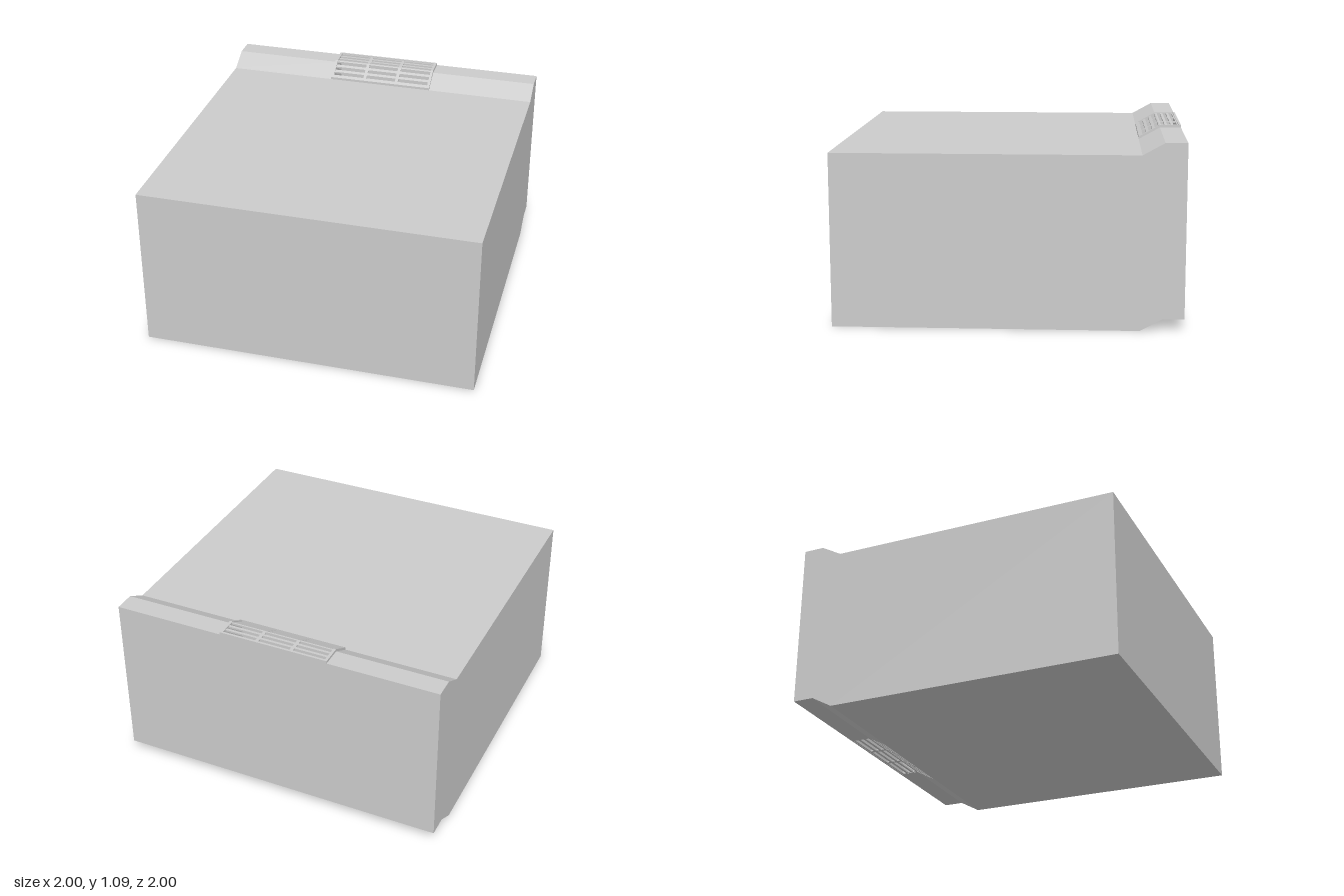
import * as THREE from 'three';

const material = new THREE.MeshStandardMaterial({ color: 0xcccccc, flatShading: true });

// Height of the stepped profile above the flat face at depth z
const STEP = 0.07, RAMP_FRONT = -0.75, RAMP_BACK = -0.875;
const rise = z => STEP * THREE.MathUtils.clamp((RAMP_FRONT - z) / (RAMP_FRONT - RAMP_BACK), 0, 1);

// Vent shaft through the body, from top to bottom
const SHAFT_X = 0.325, SHAFT_BACK = -0.99, SHAFT_FRONT = -0.757;

// Body shell: stepped top and bottom skins, outer walls and shaft walls
function createBody() {
  const xs = [-1, -SHAFT_X, SHAFT_X, 1];
  const zs = [-1, SHAFT_BACK, RAMP_BACK, SHAFT_FRONT, RAMP_FRONT, 1];
  const pos = [];
  const quad = (a, b, c, d) => pos.push(...a, ...b, ...c, ...a, ...c, ...d);
  const top = (x, z) => [x, 1 + rise(z), z];
  const low = (x, z) => [x, rise(z), z];
  // Wall facing right of the direction of travel from (xa, za) to (xb, zb)
  const wall = (xa, za, xb, zb) => quad(low(xa, za), low(xb, zb), top(xb, zb), top(xa, za));

  for (let j = 0; j < zs.length - 1; j++) {
    const z0 = zs[j], z1 = zs[j + 1];
    const open = j === 1 || j === 2;
    for (let i = 0; i < 3; i++) {
      if (open && i === 1) continue;
      const x0 = xs[i], x1 = xs[i + 1];
      quad(top(x0, z1), top(x1, z1), top(x1, z0), top(x0, z0));
      quad(low(x0, z0), low(x1, z0), low(x1, z1), low(x0, z1));
    }
    wall(1, z1, 1, z0);
    wall(-1, z0, -1, z1);
    if (open) {
      wall(-SHAFT_X, z1, -SHAFT_X, z0);
      wall(SHAFT_X, z0, SHAFT_X, z1);
    }
  }
  wall(-1, 1, 1, 1);
  wall(1, -1, -1, -1);
  wall(-SHAFT_X, SHAFT_BACK, SHAFT_X, SHAFT_BACK);
  wall(SHAFT_X, SHAFT_FRONT, -SHAFT_X, SHAFT_FRONT);

  const geometry = new THREE.BufferGeometry();
  geometry.setAttribute('position', new THREE.Float32BufferAttribute(pos, 3));
  geometry.computeVertexNormals();
  const mesh = new THREE.Mesh(geometry, material);
  mesh.name = 'body';
  return mesh;
}

// Bar that follows the stepped profile from z0 (back) to z1 (front)
function profileBar(name, x0, x1, z0, z1, height) {
  const zs = [z0, RAMP_BACK, RAMP_FRONT, z1].filter(z => z >= z0 && z <= z1);
  const path = [...new Set(zs)].sort((a, b) => a - b);
  const points = [
    ...path.map(z => new THREE.Vector2(z, rise(z))),
    ...path.reverse().map(z => new THREE.Vector2(z, rise(z) + height)),
  ];
  const geometry = new THREE.ExtrudeGeometry(new THREE.Shape(points), { depth: x1 - x0, bevelEnabled: false });
  geometry.rotateY(-Math.PI / 2).translate(x1, 0, 0);
  const mesh = new THREE.Mesh(geometry, material);
  mesh.name = name;
  return mesh;
}

// Vent grille: raised rim, two dividers and rows of slats
function createGrille(name, halfWidth, back, front) {
  const group = new THREE.Group();
  group.name = name;
  const RIM = 0.015, BAR = 0.01, inner = 0.317, innerBack = -0.987, innerFront = -0.765;
  group.add(
    profileBar('rimLeft', inner, halfWidth, back, front, RIM),
    profileBar('rimRight', -halfWidth, -inner, back, front, RIM),
    profileBar('rimBack', -inner, inner, back, innerBack, RIM),
    profileBar('rimFront', -inner, inner, innerFront, front, RIM),
  );
  for (const x of [-0.107, 0.107]) {
    group.add(profileBar('divider', x - 0.01, x + 0.01, innerBack, innerFront, BAR));
  }
  // Slats lie between six rows of slots
  const pitch = 0.037, slot = 0.021, firstSlot = -0.969;
  for (let i = 0; i <= 6; i++) {
    const z0 = Math.max(innerBack, firstSlot + (i - 1) * pitch + slot / 2);
    const z1 = Math.min(innerFront, firstSlot + i * pitch - slot / 2);
    if (z1 - z0 > 0.002) group.add(profileBar('slat', -inner, inner, z0, z1, BAR));
  }
  return group;
}

export function createModel() {
  const model = new THREE.Group();
  model.name = 'ventedBox';
  const topGrille = createGrille('topGrille', 0.333, -1, -0.75);
  topGrille.position.y = 1;
  // The lower grille sits inside the shaft, just above its opening
  const bottomGrille = createGrille('bottomGrille', SHAFT_X, SHAFT_BACK, SHAFT_FRONT);
  bottomGrille.position.y = 0.002;
  model.add(createBody(), topGrille, bottomGrille);
  return model;
}
